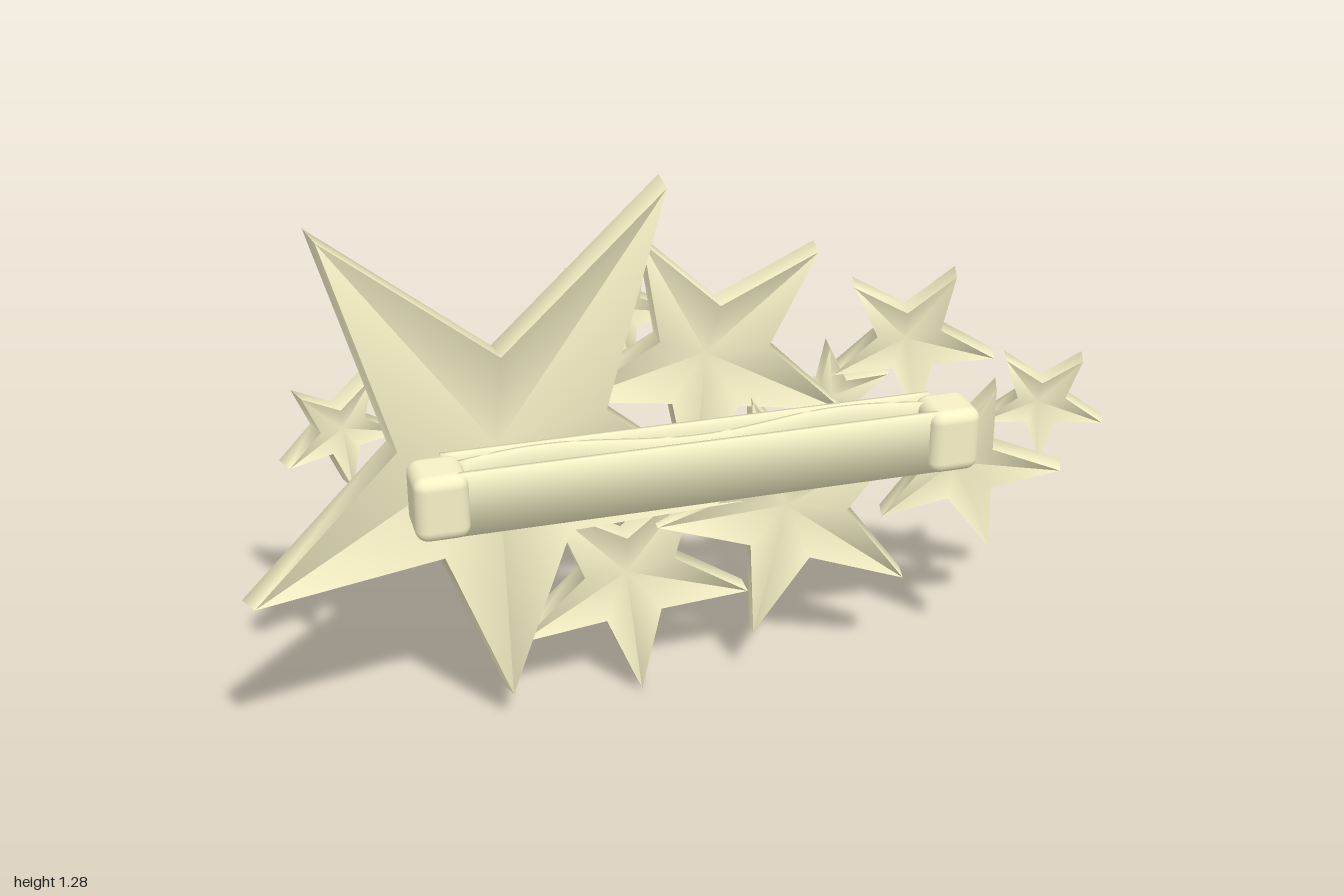
import * as THREE from 'three';
import { toCreasedNormals } from 'three/addons/utils/BufferGeometryUtils.js';
import { RoundedBoxGeometry } from 'three/addons/geometries/RoundedBoxGeometry.js';

const material = new THREE.MeshStandardMaterial({ color: 0xf6f1c6 });
const INNER = 0.39; // notch radius relative to the arm length

// Domed five-pointed star: the apex bulges to -z, the front is hollowed to match.
// arms: five [length, turn in degrees, lift in z], first: angle of the first tip in degrees,
// slope: dz/dx tilt of the whole star.
function starGeometry(arms, first, slope, dome, thick) {
  const mean = arms.reduce((sum, arm) => sum + arm[0], 0) / 5;
  const positions = [0, 0, 0, -slope * thick, 0, thick];
  for (const front of [0, 1]) {
    for (let i = 0; i < 10; i++) {
      const [length, turn, lift] = i % 2 ? [mean * INNER, 0, -0.2 * dome] : arms[i / 2];
      const a = THREE.MathUtils.degToRad(first + i * 36 + turn);
      const r = length * (front ? 0.98 : 1);
      const x = r * Math.cos(a), y = r * Math.sin(a);
      positions.push(x - front * slope * thick, y, x * slope + dome + lift + front * thick);
    }
  }
  const index = [];
  for (let i = 0; i < 10; i++) {
    const b0 = 2 + i, b1 = 2 + (i + 1) % 10, f0 = b0 + 10, f1 = b1 + 10;
    index.push(0, b1, b0, 1, f0, f1, b0, b1, f1, b0, f1, f0);
  }
  const g = new THREE.BufferGeometry();
  g.setAttribute('position', new THREE.Float32BufferAttribute(positions, 3));
  g.setIndex(index);
  return toCreasedNormals(g, 1.3);
}

// Thin soft-shaded strip along x whose depth follows z = rule(x)
function strip(name, x0, x1, height, thick, rule) {
  const g = new THREE.BoxGeometry(x1 - x0, height, thick, 48, 1, 1);
  g.translate((x0 + x1) / 2, 0, 0);
  const p = g.attributes.position;
  for (let i = 0; i < p.count; i++) p.setZ(i, p.getZ(i) + rule(p.getX(i)));
  const mesh = new THREE.Mesh(toCreasedNormals(g, 1.8), material);
  mesh.name = name;
  mesh.position.y = 0.667;
  return mesh;
}

export function createModel() {
  const model = new THREE.Group();
  model.name = 'starHairClip';

  // Cluster of stars: name, apex x, y, z, arm length (or five arms), first tip angle, slope
  const stars = new THREE.Group();
  stars.name = 'starCluster';
  const largeArms = [
    [0.62, 0, -0.04], [0.62, -2.4, 0], [0.705, 2.9, 0], [0.705, -2.9, 0], [0.62, 2.4, 0],
  ];
  const list = [
    ['largeStar', -0.42, 0.70, -0.12, largeArms, -90, -0.16],
    ['leftTinyStar', -0.765, 0.812, -0.055, 0.135, -86, -0.3],
    ['topTinyStar', -0.12, 0.97, -0.165, 0.15, 66, 0],
    ['upperMiddleStar', 0.08, 0.855, -0.14, 0.345, 46, 0.05],
    ['lowerMiddleStar', 0.28, 0.45, -0.115, 0.325, -35, 0.15],
    ['bottomStar', -0.11, 0.305, -0.16, 0.3, -86, -0.03],
    ['upperRightStar', 0.56, 0.85, -0.1, 0.19, 61, 0.3],
    ['lowerRightStar', 0.68, 0.545, -0.04, 0.218, 1, 0.35],
    ['farRightStar', 0.862, 0.69, -0.005, 0.142, -89, 0.35],
    ['middleTinyStar', 0.39, 0.71, -0.125, 0.135, 98, 0.15],
  ];
  for (const [name, x, y, z, size, angle, slope] of list) {
    const arms = Array.isArray(size) ? size : Array(5).fill([size, 0, 0]);
    const r = arms[0][0];
    const g = starGeometry(arms, angle, slope, r * 0.19, r < 0.16 ? 0.05 : 0.06);
    const star = new THREE.Mesh(g, material);
    star.name = name;
    star.position.set(x, y, z);
    stars.add(star);
  }
  model.add(stars);

  // Clasp: base plate, wavy spring and flat front bar between two end blocks
  const clasp = new THREE.Group();
  clasp.name = 'clasp';
  clasp.add(
    strip('basePlate', -0.55, 0.58, 0.14, 0.008, () => 0.022),
    strip('spring', -0.52, 0.55, 0.14, 0.008,
      (x) => 0.065 + 0.025 * Math.cos((x - 0.015) * Math.PI / 0.345)),
    strip('frontBar', -0.55, 0.58, 0.15, 0.01, () => 0.135),
  );
  for (const [name, x] of [['rightEndBlock', -0.57], ['leftEndBlock', 0.597]]) {
    const block = new THREE.Mesh(new RoundedBoxGeometry(0.12, 0.153, 0.13, 3, 0.028), material);
    block.name = name;
    block.position.set(x, 0.667, 0.095);
    clasp.add(block);
  }
  model.add(clasp);
  return model;
}
